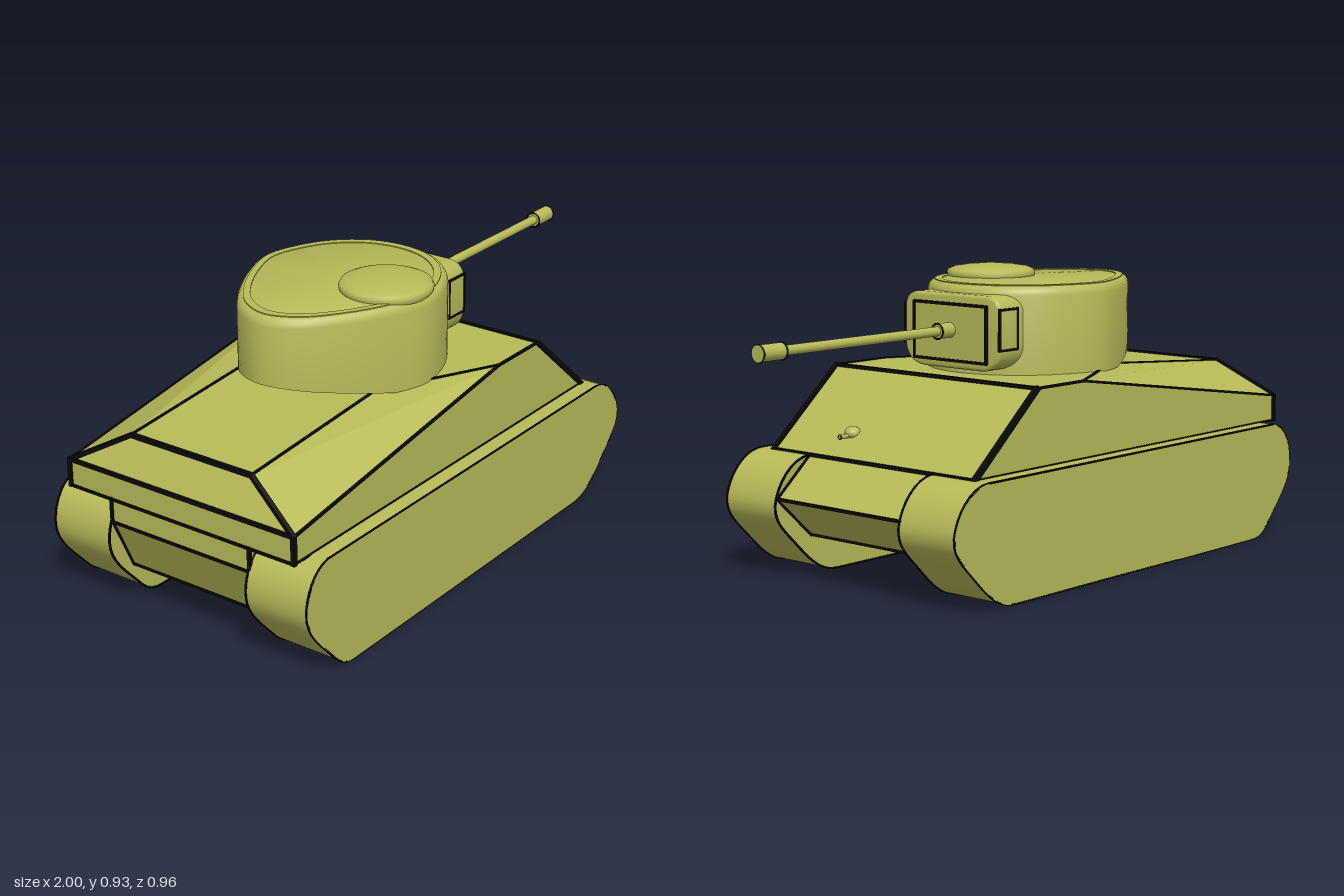
import * as THREE from 'three';
import { toCreasedNormals } from 'three/addons/utils/BufferGeometryUtils.js';
import { ConvexGeometry } from 'three/addons/geometries/ConvexGeometry.js';

const olive = new THREE.MeshStandardMaterial({ color: 0xb8ba58 });
olive.name = 'olive';
const black = new THREE.MeshStandardMaterial({ color: 0x0a0a08, side: THREE.DoubleSide });
black.name = 'black';

const V = (x, y, z) => new THREE.Vector3(x, y, z);

export function createModel() {
  const model = new THREE.Group();
  model.name = 'tank';

  const add = (name, geometry, material = olive, parent = model) => {
    const mesh = new THREE.Mesh(geometry, material);
    mesh.name = name;
    parent.add(mesh);
    return mesh;
  };

  // Thin black strips following an edge path
  const edges = (name, points, width = 0.012, closed = false) => {
    const group = new THREE.Group();
    group.name = name;
    const path = closed ? [...points, points[0]] : points;
    for (let i = 1; i < path.length; i++) {
      const length = path[i - 1].distanceTo(path[i]);
      if (length < 1e-5) continue;
      const strip = add(name + 'Strip', new THREE.BoxGeometry(width, width, length + width * 0.6), black, group);
      strip.position.copy(path[i - 1]).lerp(path[i], 0.5);
      strip.lookAt(path[i]);
    }
    model.add(group);
  };

  // Cylinder lying along x
  const rod = (name, x0, x1, y, z, radius, material = olive) => {
    const mesh = add(name, new THREE.CylinderGeometry(radius, radius, x1 - x0, 24).rotateZ(-Math.PI / 2), material);
    mesh.position.set((x0 + x1) / 2, y, z);
  };

  // Tracks
  const trackShape = new THREE.Shape();
  trackShape.moveTo(-0.78, 0);
  trackShape.lineTo(0.43, 0);
  trackShape.bezierCurveTo(0.5, 0, 0.54, 0.03, 0.6, 0.09);
  trackShape.bezierCurveTo(0.67, 0.16, 0.7, 0.18, 0.7, 0.235);
  trackShape.bezierCurveTo(0.69, 0.3, 0.63, 0.375, 0.55, 0.375);
  trackShape.lineTo(-0.9, 0.375);
  trackShape.bezierCurveTo(-0.965, 0.365, -1, 0.3, -1, 0.24);
  trackShape.bezierCurveTo(-1, 0.17, -0.94, 0.12, -0.87, 0.04);
  trackShape.bezierCurveTo(-0.84, 0.01, -0.82, 0, -0.78, 0);
  const trackGeometry = toCreasedNormals(
    new THREE.ExtrudeGeometry(trackShape, { depth: 0.22, bevelEnabled: false, curveSegments: 12 }), 0.6);
  const trackOutline = trackShape.getPoints(8);
  for (const side of [1, -1]) {
    const name = side > 0 ? 'leftTrack' : 'rightTrack';
    add(name, trackGeometry).position.z = side > 0 ? 0.26 : -0.48;
    for (const z of [0.26, 0.477]) {
      edges(name + 'Edge', trackOutline.map((p) => V(p.x, p.y, z * side)), 0.006);
    }
  }

  // Lower hull between the tracks
  const lower = [[-0.9, 0.125], [0.55, 0.125], [0.69, 0.255], [0.55, 0.375], [-0.98, 0.375], [-0.98, 0.3]];
  const lowerShape = new THREE.Shape(lower.map(([x, y]) => new THREE.Vector2(x, y)));
  add('lowerHull', new THREE.ExtrudeGeometry(lowerShape, { depth: 0.52, bevelEnabled: false }).translate(0, 0, -0.26));
  for (const z of [0.26, -0.26]) edges('lowerHullSideEdge', lower.map(([x, y]) => V(x, y, z)), 0.011, true);
  for (const [x, y] of lower) edges('lowerHullCrossEdge', [V(x, y, -0.26), V(x, y, 0.26)], 0.009);

  // Upper hull with sloped nose and bevelled rear deck
  const hullPoints = [];
  for (const s of [1, -1]) {
    const noseLow = V(0.55, 0.375, 0.42 * s), noseTop = V(0.27, 0.615, 0.42 * s);
    const shoulder = V(0.05, 0.615, 0.42 * s), rearSide = V(-0.98, 0.46, 0.42 * s);
    const rearLow = V(-0.98, 0.375, 0.42 * s);
    const deckFront = V(-0.33, 0.615, 0.225 * s), deckRear = V(-0.92, 0.57, 0.225 * s);
    hullPoints.push(noseLow, noseTop, shoulder, rearSide, rearLow, deckFront, deckRear);
    edges('noseSideEdge', [noseLow, noseTop], 0.016);
    edges('rearSideEdge', [rearLow, rearSide, deckRear], 0.014);
    edges('hullSideEdge', [noseTop, shoulder, rearSide], 0.008);
    edges('deckEdge', [shoulder, deckFront, deckRear], 0.008);
    edges('hullSkirtEdge', [noseLow, rearLow], 0.007);
  }
  add('upperHull', new ConvexGeometry(hullPoints));
  for (const [x, y, z, w] of [[0.55, 0.375, 0.42, 0.011], [0.27, 0.615, 0.42, 0.012],
    [-0.92, 0.57, 0.225, 0.014], [-0.98, 0.46, 0.42, 0.012], [-0.98, 0.375, 0.42, 0.009]]) {
    edges('hullCrossEdge', [V(x, y, -z), V(x, y, z)], w);
  }

  // Turret: egg-shaped plan, lofted through rings
  const half = [[0.13, 0.12], [0.05, 0.225], [-0.06, 0.288], [-0.18, 0.315], [-0.3, 0.28],
    [-0.45, 0.2], [-0.555, 0.11]];
  const planPoints = [[0.155, 0], ...half, [-0.6, 0], ...half.map(([x, z]) => [x, -z]).reverse()];
  const plan = new THREE.CatmullRomCurve3(planPoints.map(([x, z]) => V(x, 0, z)), true).getPoints(64);
  const cx = -0.21;
  const rings = [[0, 0], [1, 0], [1, 0.862], [0.99, 0.875], [0.97, 0.885], [0.94, 0.89], [0, 0.89]];
  const positions = [], index = [];
  rings.forEach(([scale, height], r) => plan.forEach((p, i) => {
    const x = cx + (p.x - cx) * scale;
    const y = height || 0.612 + Math.max(0, -0.3 - x) * 0.21;
    positions.push(x, y, p.z * scale);
    if (r && i) {
      const b = r * plan.length + i, a = b - 1;
      const d = b - plan.length, c = d - 1;
      index.push(c, a, d, a, b, d);
    }
  }));
  const turretGeometry = new THREE.BufferGeometry();
  turretGeometry.setAttribute('position', new THREE.Float32BufferAttribute(positions, 3));
  turretGeometry.setIndex(index);
  add('turret', toCreasedNormals(turretGeometry, 0.7));

  // Black band around the turret roof
  const outline = (scale) => plan.slice(0, -1).map((p) => new THREE.Vector2(cx + (p.x - cx) * scale, p.z * scale));
  const band = new THREE.Shape(outline(0.935));
  band.holes.push(new THREE.Path(outline(0.865)));
  add('roofBand', new THREE.ExtrudeGeometry(band, { depth: 0.004, bevelEnabled: false })
    .rotateX(-Math.PI / 2)).position.y = 0.889;

  // Domed hatch
  const hatchProfile = [[0, 0.875], [0.135, 0.875], [0.143, 0.888], [0.145, 0.9], [0.14, 0.91], [0.12, 0.918],
    [0.08, 0.924], [0.04, 0.927], [0, 0.928]].map(([x, y]) => new THREE.Vector2(x, y));
  add('hatch', new THREE.LatheGeometry(hatchProfile, 48)).position.set(-0.19, 0, 0.165);

  // Gun mantlet with rounded corners and a raised front plate
  const m = new THREE.Shape();
  m.moveTo(-0.12, 0.64);
  m.lineTo(0.12, 0.64);
  m.quadraticCurveTo(0.19, 0.645, 0.19, 0.71);
  m.lineTo(0.19, 0.815);
  m.quadraticCurveTo(0.185, 0.855, 0.14, 0.855);
  m.lineTo(-0.14, 0.855);
  m.quadraticCurveTo(-0.185, 0.855, -0.19, 0.815);
  m.lineTo(-0.19, 0.71);
  m.quadraticCurveTo(-0.19, 0.645, -0.12, 0.64);
  const mantlet = new THREE.ExtrudeGeometry(m, {
    depth: 0.165, bevelSize: 0.01, bevelThickness: 0.01, bevelSegments: 3, curveSegments: 8 });
  add('mantlet', toCreasedNormals(mantlet.rotateY(Math.PI / 2), 0.7)).position.x = 0.01;
  add('mantletPlate', new THREE.BoxGeometry(0.02, 0.18, 0.3)).position.set(0.183, 0.745, 0);
  const rect = (x, y0, y1, z) => [V(x, y0, -z), V(x, y0, z), V(x, y1, z), V(x, y1, -z)];
  edges('mantletPlateEdge', rect(0.192, 0.657, 0.833, 0.15), 0.009, true);
  for (const z of [0.197, -0.197]) {
    edges('mantletSideEdge', [V(0.1, 0.7, z), V(0.183, 0.7, z), V(0.183, 0.825, z), V(0.1, 0.825, z)], 0.008, true);
  }

  // Main gun
  rod('gunCollar', 0.18, 0.25, 0.752, 0, 0.024);
  rod('gunBarrel', 0.2, 0.95, 0.752, 0, 0.015);
  rod('muzzle', 0.907, 1, 0.752, 0, 0.025);
  for (const [x, r] of [[0.25, 0.024], [0.907, 0.025], [0.997, 0.025]]) {
    const ring = add('gunRing', new THREE.TorusGeometry(r, 0.003, 6, 24).rotateY(Math.PI / 2), black);
    ring.position.set(x, 0.752, 0);
  }

  // Machine gun in the nose plate
  const ball = add('noseGunMount', new THREE.SphereGeometry(0.027, 20, 14));
  ball.position.set(0.467, 0.445, 0.155);
  ball.scale.y = 0.75;
  rod('noseGun', 0.47, 0.525, 0.438, 0.155, 0.007);
  const noseRing = add('noseGunRing', new THREE.TorusGeometry(0.007, 0.002, 6, 16).rotateY(Math.PI / 2), black);
  noseRing.position.set(0.524, 0.438, 0.155);

  return model;
}
